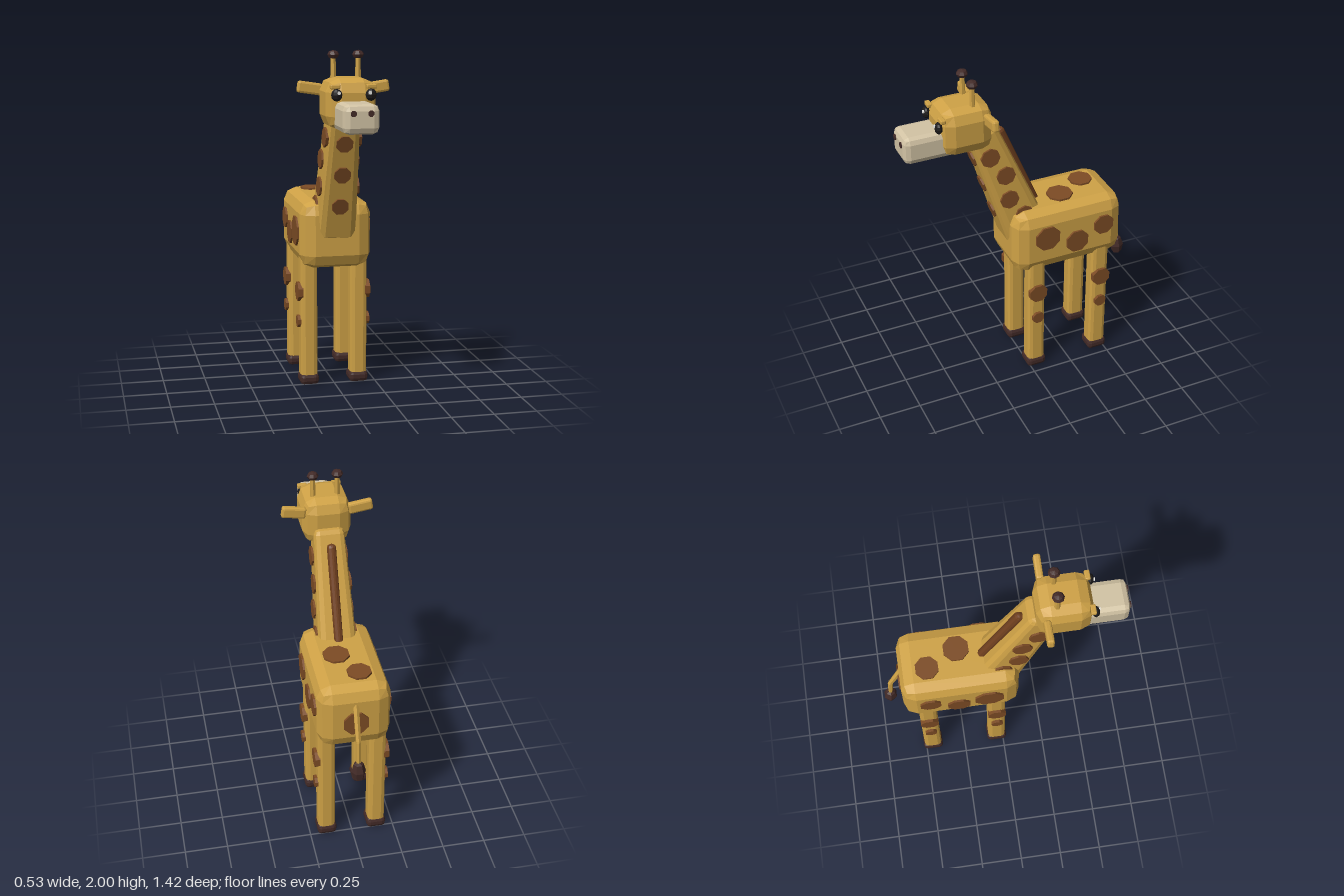
import * as THREE from 'three';
import { RoundedBoxGeometry } from 'three/addons/geometries/RoundedBoxGeometry.js';

const paint = (name, color) => {
  const m = new THREE.MeshStandardMaterial({ color });
  m.name = name;
  return m;
};

export function createModel() {
  const hide = paint('ochre hide', 0xcfa246);
  const patch = paint('brown patch', 0x7d4c25);
  const maneBrown = paint('mane brown', 0x70401f);
  const dark = paint('dark hoof brown', 0x432b28);
  const cream = paint('cream muzzle', 0xd3c4a5);
  const black = paint('eye black', 0x1c1a1a);
  const white = paint('eye glint', 0xf2f2ee);

  const model = new THREE.Group();
  model.name = 'giraffe';

  // Faceted mesh: unshared vertices give flat normals
  function add(parent, name, geometry, material, x = 0, y = 0, z = 0) {
    const g = geometry.index ? geometry.toNonIndexed() : geometry;
    g.computeVertexNormals();
    const mesh = new THREE.Mesh(g, material);
    mesh.name = name;
    mesh.position.set(x, y, z);
    parent.add(mesh);
    return mesh;
  }
  const block = (w, h, d, r) => new RoundedBoxGeometry(w, h, d, 1, r);
  const UP = new THREE.Vector3(0, 1, 0);

  // Octagonal disc facing along the given normal, flat edge upwards
  function spot(parent, name, r, pos, normal, material = patch, thick = 0.03) {
    const g = new THREE.CylinderGeometry(r / 0.924, r / 0.924, thick, 8);
    g.rotateY(Math.PI / 8);
    const mesh = add(parent, name, g, material, ...pos);
    mesh.quaternion.setFromUnitVectors(UP, new THREE.Vector3(...normal).normalize());
    return mesh;
  }

  // Straight rod between two points
  function rod(name, a, b, r0, r1, material) {
    const p = new THREE.Vector3(...a), q = new THREE.Vector3(...b);
    const g = new THREE.CylinderGeometry(r1, r0, p.distanceTo(q), 6);
    const mid = p.clone().add(q).multiplyScalar(0.5);
    const mesh = add(model, name, g, material, mid.x, mid.y, mid.z);
    mesh.quaternion.setFromUnitVectors(UP, q.sub(p).normalize());
  }

  // Body and its patches
  add(model, 'body', block(0.42, 0.4, 0.69, 0.08), hide, 0, 0.92, -0.245);
  for (const [y, z, r] of [[0.955, -0.095, 0.074], [0.885, -0.285, 0.068], [0.955, -0.455, 0.06]])
    spot(model, 'leftBodyPatch', r, [0.207, y, z], [1, 0, 0]);
  for (const [y, z, r] of [[0.925, -0.085, 0.083], [0.885, -0.265, 0.066], [0.945, -0.43, 0.06]])
    spot(model, 'rightBodyPatch', r, [-0.207, y, z], [-1, 0, 0]);
  spot(model, 'backPatch', 0.066, [-0.05, 1.117, -0.425], [0, 1, 0]);
  spot(model, 'backPatch', 0.073, [0.045, 1.117, -0.245], [0, 1, 0]);
  spot(model, 'rumpPatch', 0.07, [0, 0.9, -0.588], [0, 0, -1]);

  // Legs, hooves and leg patches
  for (const s of [1, -1]) {
    for (const [label, z] of [['front', -0.04], ['back', -0.455]]) {
      add(model, label + 'Leg', block(0.1, 0.78, 0.108, 0.025), hide, s * 0.15, 0.42, z);
      add(model, label + 'Hoof', block(0.114, 0.066, 0.122, 0.022), dark, s * 0.149, 0.036, z);
      spot(model, label + 'LegPatch', 0.054, [s * 0.202, 0.568, z], [s, 0, 0]);
      spot(model, label + 'LegPatch', 0.035, [s * 0.202, 0.386, z], [s, 0, 0]);
    }
  }

  // Neck: tapered block in a leaning frame, local y runs along the neck
  const lean = 0.3565;
  const neck = new THREE.Group();
  neck.name = 'neckGroup';
  neck.rotation.x = lean;
  model.add(neck);
  const off = -0.353;
  const halfW = (d) => 0.111 - 0.037 * (d - 1);
  const halfD = (d) => 0.125 - 0.058 * (d - 1);
  const neckGeo = block(1, 0.8, 1, 0.03);
  const ng = block(0.2, 0.8, 0.2, 0.035);
  const pos = ng.attributes.position;
  for (let i = 0; i < pos.count; i++) {
    const d = pos.getY(i) + 1.255;
    pos.setXYZ(i, pos.getX(i) * halfW(d) / 0.1, d, pos.getZ(i) * halfD(d) / 0.1 + off);
  }
  neckGeo.dispose();
  add(neck, 'neck', ng, hide);
  for (const d of [1.09, 1.289, 1.48])
    spot(neck, 'neckFrontPatch', 0.047, [0, d, off + halfD(d) - 0.004], [0, 0.058, 1]);
  for (const s of [1, -1])
    for (const [d, n] of [[1.488, 0.023], [1.33, -0.015], [1.173, 0.023], [1.025, -0.018]])
      spot(neck, 'neckSidePatch', 0.053, [s * (halfW(d) - 0.003), d, off + n], [s, 0.037, 0]);
  const mane = add(neck, 'mane', block(0.05, 0.6, 0.056, 0.02), maneBrown, 0, 1.27, off - 0.114);
  mane.rotation.x = 0.04;

  // Head and muzzle
  add(model, 'head', block(0.28, 0.28, 0.31, 0.075), hide, 0, 1.715, 0.345);
  add(model, 'muzzle', block(0.2, 0.16, 0.3, 0.035), cream, 0, 1.655, 0.555);

  for (const s of [1, -1]) {
    // Eyes with lids and glints
    const eye = add(model, 'eye', new THREE.SphereGeometry(1, 8, 6), black, s * 0.095, 1.77, 0.507);
    eye.scale.set(0.031, 0.034, 0.022);
    add(model, 'eyelid', block(0.055, 0.025, 0.03, 0.006), hide, s * 0.1, 1.814, 0.489);
    spot(model, 'eyeGlint', 0.009, [s * 0.086, 1.782, 0.526], [0, 0, 1], white, 0.008);
    // Nostrils
    spot(model, 'nostril', 0.016, [s * 0.047, 1.688, 0.704], [0, 0, 1], dark, 0.014);
    // Ears
    const ear = add(model, 'ear', block(0.14, 0.066, 0.04, 0.012), hide, s * 0.192, 1.79, 0.24);
    ear.rotation.z = s * 0.15;
    // Horns
    rod('horn', [s * 0.07, 1.82, 0.3], [s * 0.07, 1.97, 0.3], 0.018, 0.014, hide);
    const tip = add(model, 'hornTip', new THREE.SphereGeometry(0.034, 8, 4), dark, s * 0.07, 1.976, 0.3);
    tip.scale.y = 0.72;
  }

  // Tail with tuft
  rod('tailUpper', [0, 1.02, -0.575], [0, 0.81, -0.656], 0.019, 0.015, hide);
  rod('tailLower', [0, 0.82, -0.653], [0, 0.65, -0.665], 0.016, 0.013, hide);
  const tuft = add(model, 'tailTuft', new THREE.SphereGeometry(1, 6, 4), dark, 0, 0.612, -0.668);
  tuft.scale.set(0.042, 0.07, 0.042);
  tuft.rotation.x = 0.08;

  return model;
}
